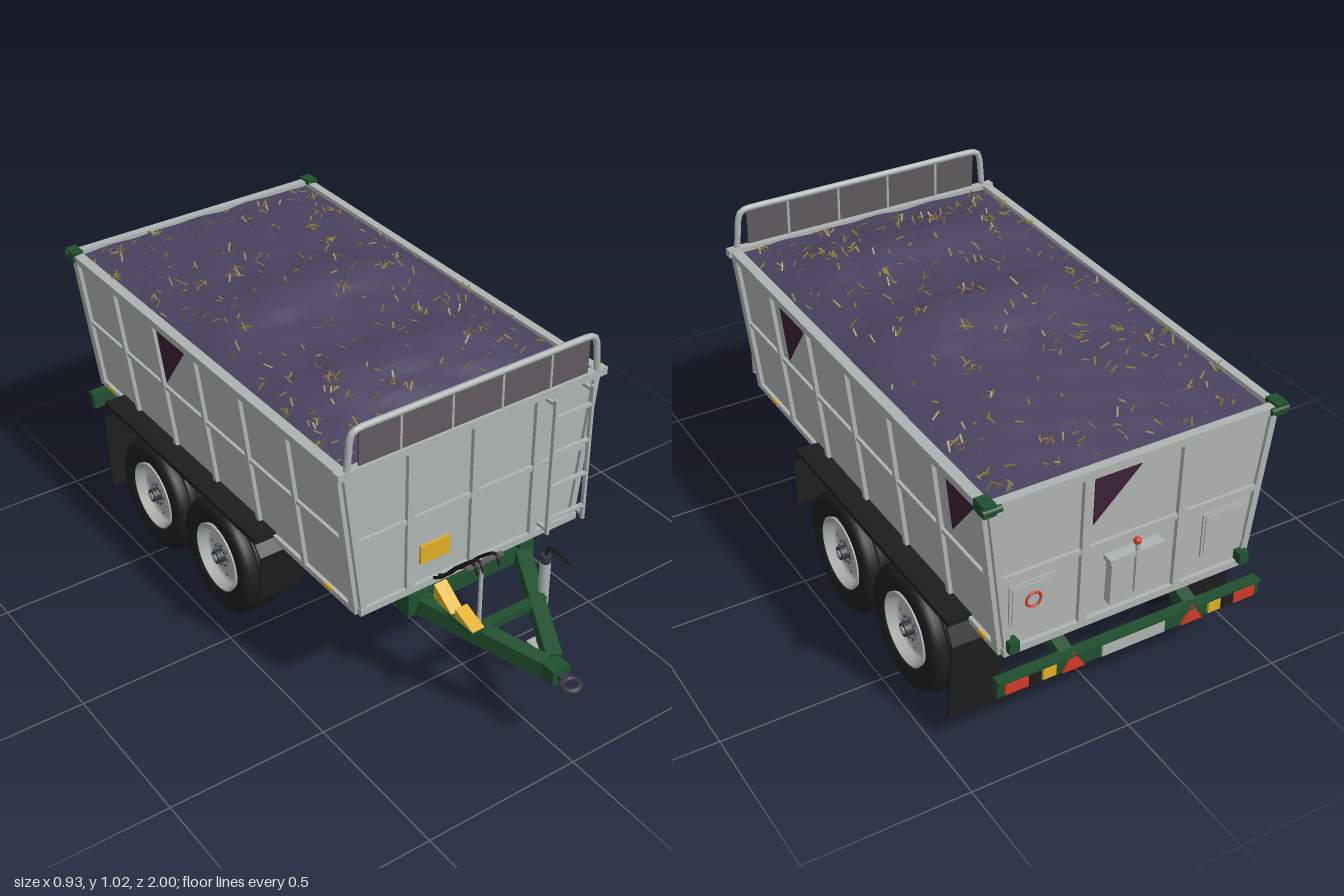
import * as THREE from 'three';
import { mergeGeometries } from 'three/addons/utils/BufferGeometryUtils.js';

const D = THREE.DoubleSide;
const mat = (name, color, side = THREE.FrontSide) => {
  const m = new THREE.MeshStandardMaterial({ color, side });
  m.name = name;
  return m;
};
const V = (x, y, z) => new THREE.Vector3(x, y, z);

export function createModel() {
  const wall = mat('body grey', 0xaeb4b1, D), green = mat('chassis green', 0x1f4f2e), rubber = mat('rubber black', 0x1d1d1e, D),
    violet = mat('load violet', 0x4a4360, D), yellow = mat('yellow', 0xdfae20), red = mat('red', 0xd23a26), plum = mat('plum', 0x3c2036, D),
    screen = mat('screen grey', 0x5e5a5d, D), straw = mat('straw olive', 0x857a2a, D), iron = mat('axle iron', 0x383542);
  const root = new THREE.Group();
  const add = (name, geo, m, x = 0, y = 0, z = 0, parent = root) => {
    const o = new THREE.Mesh(geo, m);
    o.name = name;
    o.position.set(x, y, z);
    parent.add(o);
    return o;
  };
  const box = (name, m, w, h, d, x, y, z, parent) => add(name, new THREE.BoxGeometry(w, h, d), m, x, y, z, parent);
  const cyl = (name, m, r, h, x, y, z, parent, r2 = r) => add(name, new THREE.CylinderGeometry(r, r2, h, 20), m, x, y, z, parent);
  const beam = (name, m, a, b, w, h) => {
    const o = box(name, m, w, h, a.distanceTo(b), 0, 0, 0);
    o.position.copy(a).add(b).multiplyScalar(0.5);
    o.lookAt(b);
    return o;
  };
  const tube = (name, m, pts, r) =>
    add(name, new THREE.TubeGeometry(new THREE.CatmullRomCurve3(pts.map(p => V(...p)), false, 'centripetal'), 60, r, 8), m);
  const prism = (pts, depth) => new THREE.ExtrudeGeometry(new THREE.Shape(pts.map(p => new THREE.Vector2(...p))), { depth, bevelEnabled: false });
  const flag = (w, h) => prism([[0, 0], [0, -h], [w, 0]], 0.003);

  // Body: leaning side walls with ribs
  const Y0 = 0.396, Y1 = 0.88, XB = 0.377, XT = 0.434, ZF = 0.508, ZR = -0.945, ZM = (ZF + ZR) / 2, L = ZF - ZR;
  const H = Math.hypot(Y1 - Y0, XT - XB), lean = Math.atan2(XT - XB, Y1 - Y0);
  for (const s of [1, -1]) {
    const g = new THREE.Group();
    g.name = s > 0 ? 'sideWallLeft' : 'sideWallRight';
    g.position.set(s * XB, Y0, 0);
    g.rotation.z = -s * lean;
    root.add(g);
    box('sidePanel', wall, 0.012, H, L, 0, H / 2, ZM, g);
    for (let i = 0; i <= 6; i++) box('sideRib', wall, 0.016, H, i % 6 ? 0.017 : 0.03, s * 0.01, H / 2, ZF - 0.012 - i * (L - 0.024) / 6, g);
    box('sideMidRail', wall, 0.012, 0.014, L, s * 0.009, 0.25, ZM, g);
    box('sideBottomRail', wall, 0.024, 0.022, L, s * 0.005, 0.008, ZM, g);
    box('sideTopRail', wall, 0.03, 0.026, L + 0.015, s * 0.003, H, ZM, g);
    for (const z of [0.38, -0.87]) box('sideReflector', yellow, 0.006, 0.014, 0.035, s * 0.016, 0.012, z, g);
    for (const [z, w, h] of s > 0 ? [[0.2, 0.16, 0.19], [-0.76, 0.14, 0.17]] : [[-0.44, 0.16, 0.19]]) {
      const f = add('sideFlag', flag(w, h), plum, s * 0.0075, H - 0.025, z, g);
      f.rotation.y = s * Math.PI / 2;
    }
  }
  box('floor', wall, 2 * XB, 0.012, L, 0, Y0, ZM);

  // End walls
  for (const [name, z, s] of [['frontWall', ZF, 1], ['tailgate', ZR, -1]]) {
    add(name, prism([[-XB, Y0], [XB, Y0], [XT, Y1], [-XT, Y1]], 0.012), wall, 0, 0, z - 0.006);
    const ribs = s > 0 ? [-0.22, 0, 0.22] : [-0.15, 0.15];
    for (const x of ribs) box(name + 'Rib', wall, 0.024, Y1 - Y0, 0.016, x, (Y0 + Y1) / 2, z + s * 0.011);
    box(name + 'MidRail', wall, 0.81, 0.016, 0.014, 0, 0.645, z + s * 0.009);
    box(name + 'BottomRail', wall, 0.775, 0.022, 0.022, 0, 0.406, z + s * 0.008);
    box(name + 'TopRail', wall, s > 0 ? 0.92 : 0.88, 0.024, 0.026, 0, Y1 + 0.003, z + s * 0.008);
    for (const k of [1, -1]) beam(name + 'Post', wall, V(k * (XB - 0.005), Y0, z + s * 0.006), V(k * (XT - 0.005), Y1, z + s * 0.006), 0.02, 0.02);
  }
  box('warningPlate', yellow, 0.1, 0.06, 0.008, -0.14, 0.52, 0.53);

  // Tailgate fittings
  for (const x of [0.3, -0.3]) {
    box('hatchFrame', wall, 0.14, 0.14, 0.008, x, 0.54, -0.952);
    box('hatchDoor', wall, 0.124, 0.124, 0.008, x, 0.54, -0.955);
  }
  box('grainChute', wall, 0.15, 0.14, 0.03, 0, 0.52, -0.962);
  box('chuteRim', wall, 0.17, 0.014, 0.04, 0, 0.595, -0.965);
  box('chuteLever', wall, 0.01, 0.16, 0.008, 0, 0.55, -0.982);
  add('leverKnob', new THREE.SphereGeometry(0.011, 12, 8), red, 0, 0.632, -0.978);
  add('speedMark', new THREE.TorusGeometry(0.022, 0.004, 8, 24), red, 0.3, 0.55, -0.959);
  add('rearFlag', flag(0.14, 0.14), plum, 0.125, 0.855, -0.952).rotation.y = Math.PI;
  for (const s of [1, -1]) {
    box('topHinge', green, 0.036, 0.034, 0.05, s * 0.441, 0.886, -0.948);
    cyl('hingePin', green, 0.01, 0.055, s * 0.435, 0.885, -0.968).rotation.z = Math.PI / 2;
    box('tailgateLatch', green, 0.03, 0.035, 0.03, s * 0.365, 0.43, -0.965);
  }

  // Headboard guard
  box('guardScreen', screen, 0.78, 0.115, 0.006, 0, 0.955, 0.52);
  const bend = [[0.428, 0.88], [0.422, 0.94], [0.417, 0.985], [0.409, 1.005], [0.392, 1.013], [0.37, 1.014], [0.2, 1.014]];
  tube('guardRail', wall, [...bend.map(([x, y]) => [-x, y, 0.52]), ...bend.reverse().map(([x, y]) => [x, y, 0.52])], 0.01);
  for (const x of [-0.255, -0.085, 0.085, 0.255]) cyl('guardPost', wall, 0.005, 0.13, x, 0.95, 0.52);

  // Ladder
  for (const x of [0.25, 0.385]) {
    box('ladderRail', wall, 0.009, 0.46, 0.012, x, 0.645, 0.555);
    for (const y of [0.43, 0.86]) box('ladderBracket', wall, 0.009, 0.01, 0.045, x, y, 0.535);
  }
  for (const y of [0.465, 0.58, 0.695, 0.815]) box('ladderRung', wall, 0.13, 0.009, 0.012, 0.3175, y, 0.555);

  // Heaped load
  const ridge = new THREE.SplineCurve([[0.51, 0.885], [0.42, 0.9], [0.2, 0.962], [0.05, 0.942], [-0.1, 0.955], [-0.25, 0.985],
    [-0.45, 0.942], [-0.6, 0.93], [-0.8, 0.905], [-0.94, 0.885]].map(p => new THREE.Vector2(...p))).getPoints(120);
  const heapY = (x, z) => {
    let i = ridge.findIndex(p => p.x <= z);
    if (i < 0) i = ridge.length - 1;
    const c = 1 - Math.pow(Math.abs(x) / 0.43, 3);
    return 0.88 + (ridge[i].y - 0.88) * c + c * 0.0022 * (Math.sin(x * 37 + z * 19) + Math.sin(z * 53 - x * 23));
  };
  const heap = new THREE.PlaneGeometry(0.856, 1.445, 36, 64).rotateX(-Math.PI / 2).translate(0, 0, ZM);
  const hp = heap.attributes.position;
  for (let i = 0; i < hp.count; i++) hp.setY(i, heapY(hp.getX(i), hp.getZ(i)));
  heap.computeVertexNormals();
  add('load', heap, violet);

  // Leaves and stalks scattered on the load, some in clumps
  let seed = 7;
  const rnd = () => (seed = (seed * 16807) % 2147483647) / 2147483647;
  const bits = [];
  for (let i = 0; i < 330; i++) {
    const x = (rnd() - 0.5) * 0.84, z = ZM + (rnd() - 0.5) * 1.4;
    const n = i % 9 ? 1 : 6;
    for (let k = 0; k < n; k++) bits.push(new THREE.PlaneGeometry(0.014 + rnd() * 0.018, 0.005).rotateX(-Math.PI / 2 + (rnd() - 0.5))
      .rotateZ((rnd() - 0.5) * 2).rotateY(rnd() * 6.28)
      .translate(x + (n > 1 ? (rnd() - 0.5) * 0.035 : 0), heapY(x, z) + 0.009, z + (rnd() - 0.5) * 0.03));
  }
  add('leafScraps', mergeGeometries(bits), straw);

  // Chassis and drawbar
  for (const s of [1, -1]) {
    box('chassisBeam', green, 0.05, 0.07, 1.4, s * 0.2, 0.355, -0.17);
    beam('rearArm', green, V(s * 0.2, 0.36, -0.84), V(s * 0.2, 0.32, -0.975), 0.04, 0.04);
    beam('drawbarArm', green, V(s * 0.185, 0.35, 0.53), V(s * 0.018, 0.275, 0.87), 0.045, 0.055);
    box('drawbarFoot', green, 0.045, 0.075, 0.06, s * 0.205, 0.352, 0.5);
    for (const [z, drop] of [[0.05, 0.01], [-0.345, 0.06], [-0.74, 0.01]])
      add('springHanger', prism([[-0.06, 0.06], [-0.025, -drop], [0.025, -drop], [0.06, 0.06]], 0.04), green, s * 0.225 - 0.02, 0.33, z).rotation.y = Math.PI / 2;
  }
  for (const z of [0.5, 0.24, 0.02, -0.345, -0.6, -0.84]) box('crossMember', green, 0.4, 0.05, 0.045, 0, 0.35, z);
  box('wheelCrossBeam', green, 0.58, 0.045, 0.05, 0, 0.305, -0.345);
  box('drawbarBrace', green, 0.24, 0.025, 0.03, 0.01, 0.325, 0.69);
  box('drawbarNose', green, 0.06, 0.05, 0.08, 0, 0.27, 0.885);
  box('towShank', iron, 0.025, 0.02, 0.04, 0, 0.266, 0.925);
  add('towRing', new THREE.TorusGeometry(0.025, 0.009, 12, 28), iron, 0, 0.266, 0.964).rotation.x = Math.PI / 2;
  cyl('tippingRam', screen, 0.03, 0.3, 0, 0.37, 0.3).rotation.x = Math.PI / 2;

  // Wheels, axles and springs
  const pts = a => a.map(p => new THREE.Vector2(...p));
  const tyre = new THREE.LatheGeometry(pts([[0.108, -0.06], [0.125, -0.073], [0.16, -0.078], [0.178, -0.072], [0.187, -0.058], [0.19, -0.037], [0.182, -0.035],
    [0.182, -0.029], [0.191, -0.027], [0.191, -0.004], [0.183, -0.003], [0.183, 0.003], [0.191, 0.004], [0.191, 0.027], [0.182, 0.029], [0.182, 0.035],
    [0.19, 0.037], [0.187, 0.058], [0.178, 0.072], [0.16, 0.078], [0.125, 0.073], [0.108, 0.06]]), 48);
  const rim = new THREE.LatheGeometry(pts([[0.112, -0.06], [0.1, -0.04], [0.1, 0.02], [0.11, 0.062], [0.113, 0.072], [0.107, 0.072], [0.098, 0.045],
    [0.085, 0.035], [0.055, 0.048], [0, 0.048]]), 40);
  for (const z of [-0.15, -0.54]) {
    box('axle', iron, 0.66, 0.036, 0.036, 0, 0.195, z);
    for (const s of [1, -1]) {
      const w = new THREE.Group();
      w.name = 'wheel';
      w.position.set(s * 0.377, 0.196, z);
      w.rotation.z = -s * Math.PI / 2;
      root.add(w);
      add('tyre', tyre, rubber, 0, 0, 0, w);
      add('rim', rim, wall, 0, 0, 0, w);
      cyl('hub', iron, 0.021, 0.03, 0, 0.06, 0, w);
      cyl('hubCap', wall, 0.012, 0.012, 0, 0.072, 0, w);
      cyl('brakeDrum', iron, 0.07, 0.05, 0, -0.04, 0, w);
      for (let i = 0; i < 8; i++) {
        const a = i * Math.PI / 4;
        cyl('wheelNut', iron, 0.004, 0.012, 0.034 * Math.cos(a), 0.052, 0.034 * Math.sin(a), w);
        cyl('rimSlot', screen, 0.005, 0.004, 0.082 * Math.cos(a), 0.037, 0.082 * Math.sin(a), w);
      }
      tube('leafSpring', iron, [[s * 0.24, 0.28, z + 0.19], [s * 0.24, 0.235, z], [s * 0.24, 0.28, z - 0.19]], 0.014);
      box('springSeat', iron, 0.05, 0.03, 0.05, s * 0.24, 0.225, z);
      for (const k of [-0.014, 0.014]) box('springBolt', wall, 0.01, 0.05, 0.054, s * 0.24 + k, 0.203, z);
      cyl('bumpStop', iron, 0.014, 0.06, s * 0.24, 0.26, z, root, 0.02);
    }
  }

  // Mudguards with hanging flaps
  for (const s of [1, -1]) {
    box('mudguard', rubber, 0.155, 0.016, 0.9, s * 0.381, 0.412, -0.35);
    beam('frontFlapTop', rubber, V(s * 0.381, 0.41, 0.09), V(s * 0.381, 0.37, 0.125), 0.155, 0.008);
    beam('frontFlap', rubber, V(s * 0.381, 0.37, 0.125), V(s * 0.381, 0.21, 0.11), 0.155, 0.006);
    beam('rearFlapTop', rubber, V(s * 0.381, 0.41, -0.79), V(s * 0.381, 0.35, -0.82), 0.155, 0.008);
    beam('rearFlap', rubber, V(s * 0.381, 0.35, -0.82), V(s * 0.381, 0.085, -0.803), 0.155, 0.006);
  }

  // Rear light bar
  box('lightBar', green, 0.84, 0.05, 0.025, 0, 0.315, -0.976);
  box('lightBarLip', green, 0.84, 0.006, 0.035, 0, 0.34, -0.98);
  box('numberPlate', wall, 0.2, 0.04, 0.006, 0, 0.315, -0.992);
  for (const s of [1, -1]) {
    box('tailLamp', red, 0.07, 0.034, 0.008, s * 0.365, 0.315, -0.992);
    box('lampBlack', rubber, 0.035, 0.034, 0.008, s * 0.31, 0.315, -0.992);
    box('turnLamp', yellow, 0.04, 0.034, 0.008, s * 0.265, 0.315, -0.992);
    add('reflectorTriangle', prism([[-0.035, -0.022], [0.035, -0.022], [0, 0.036]], 0.006), red, s * 0.19, 0.315, -0.996);
  }

  // Parking jack
  cyl('jackTube', wall, 0.016, 0.21, 0.138, 0.34, 0.68);
  cyl('jackLeg', wall, 0.011, 0.14, 0.138, 0.215, 0.68);
  box('jackFoot', wall, 0.056, 0.006, 0.05, 0.138, 0.148, 0.68);
  cyl('jackHead', iron, 0.015, 0.025, 0.138, 0.457, 0.68);
  tube('jackCrank', rubber, [[0.138, 0.46, 0.68], [0.138, 0.5, 0.69], [0.138, 0.505, 0.74], [0.138, 0.5, 0.78]], 0.005);

  // Hose stand, hoses and wheel chocks
  cyl('hoseStand', wall, 0.006, 0.23, -0.095, 0.445, 0.68);
  box('hoseBar', screen, 0.125, 0.006, 0.016, -0.095, 0.56, 0.69);
  for (const x of [-0.13, -0.112, -0.055]) tube('hose', rubber, [[x, 0.54, 0.71], [x, 0.565, 0.69], [x - 0.003, 0.52, 0.63], [x - 0.008, 0.44, 0.56], [x, 0.385, 0.48]], 0.005);
  for (const [z, h] of [[0.555, 0.055], [0.65, 0.03]])
    add('wheelChock', prism([[0, 0], [0.08, 0], [0, h]], 0.042), yellow, -0.116, 0.365, z).rotation.y = -Math.PI / 2;
  box('chockTray', green, 0.05, 0.01, 0.2, -0.137, 0.36, 0.63);

  return root;
}
